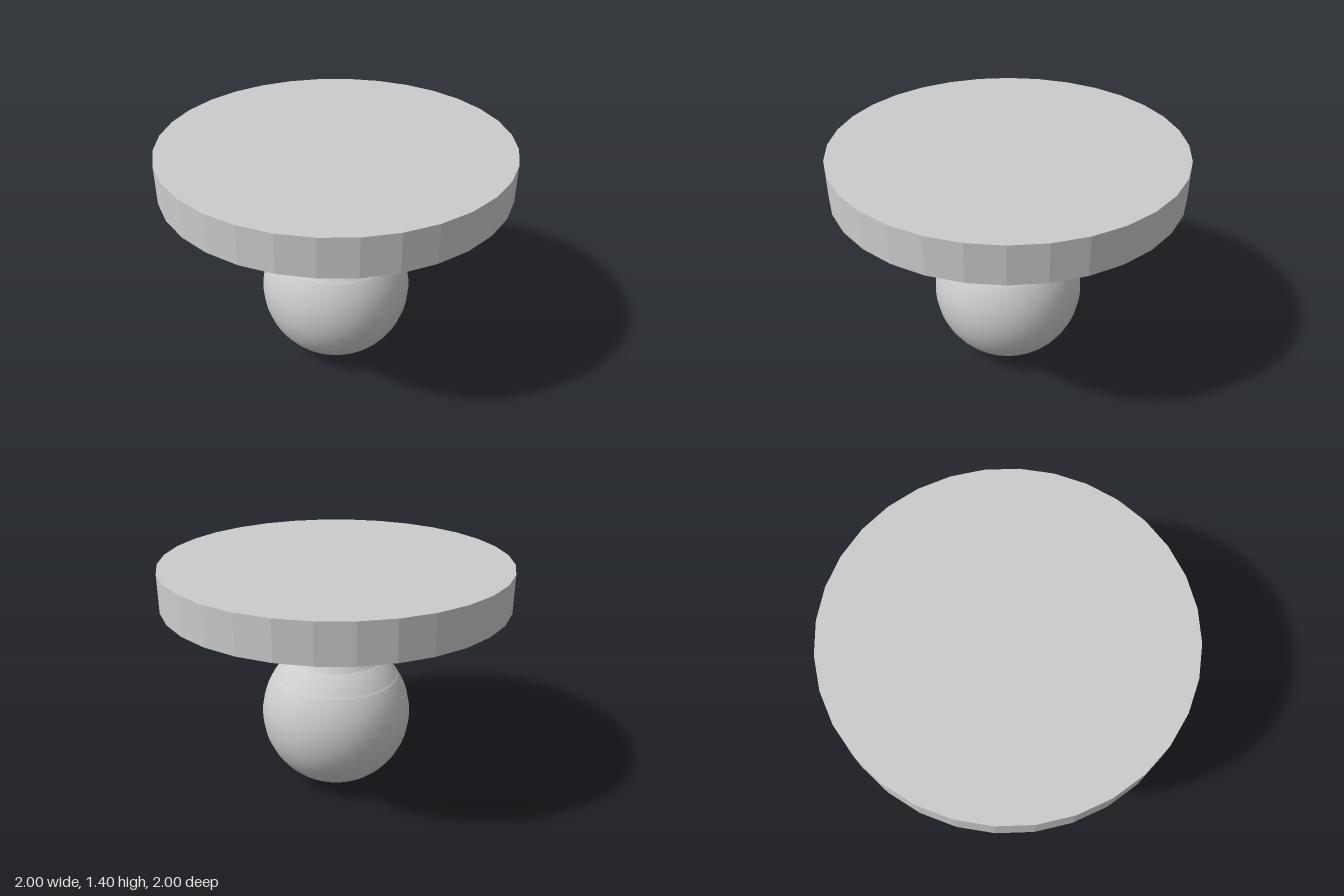
import * as THREE from 'three';

export function createModel() {
  const group = new THREE.Group();
  const grey = new THREE.MeshStandardMaterial({ color: 0xcccccc });
  grey.name = 'light grey';
  const black = new THREE.MeshStandardMaterial({ color: 0x111111 });
  black.name = 'black';

  const add = (name, geometry, material, y = 0) => {
    const mesh = new THREE.Mesh(geometry, material);
    mesh.name = name;
    mesh.position.y = y;
    group.add(mesh);
  };

  // Faceted closed disc or cone between two heights
  const faceted = (name, rTop, rBottom, y0, y1, material) => {
    const g = new THREE.CylinderGeometry(rTop, rBottom, y1 - y0, 32).toNonIndexed();
    g.computeVertexNormals();
    add(name, g, material, (y0 + y1) / 2);
  };

  // Ceiling plate with a smaller step below
  faceted('ceilingPlate', 1, 1, 1.18, 1.4, grey);
  faceted('plateStep', 0.88, 0.88, 1.125, 1.18, grey);

  // Socket collar
  faceted('socketCollar', 0.09, 0.16, 1.03, 1.125, black);

  // Smooth globe of the bulb
  add('bulbGlobe', new THREE.SphereGeometry(0.45, 32, 24), grey, 0.45);

  // Flared neck joining the globe to the collar
  const profile = [[0.376, 0.7], [0.3, 0.78], [0.245, 0.835], [0.138, 1.03]]
    .map(([r, y]) => new THREE.Vector2(r, y));
  add('bulbNeck', new THREE.LatheGeometry(profile, 32), grey);

  return group;
}
